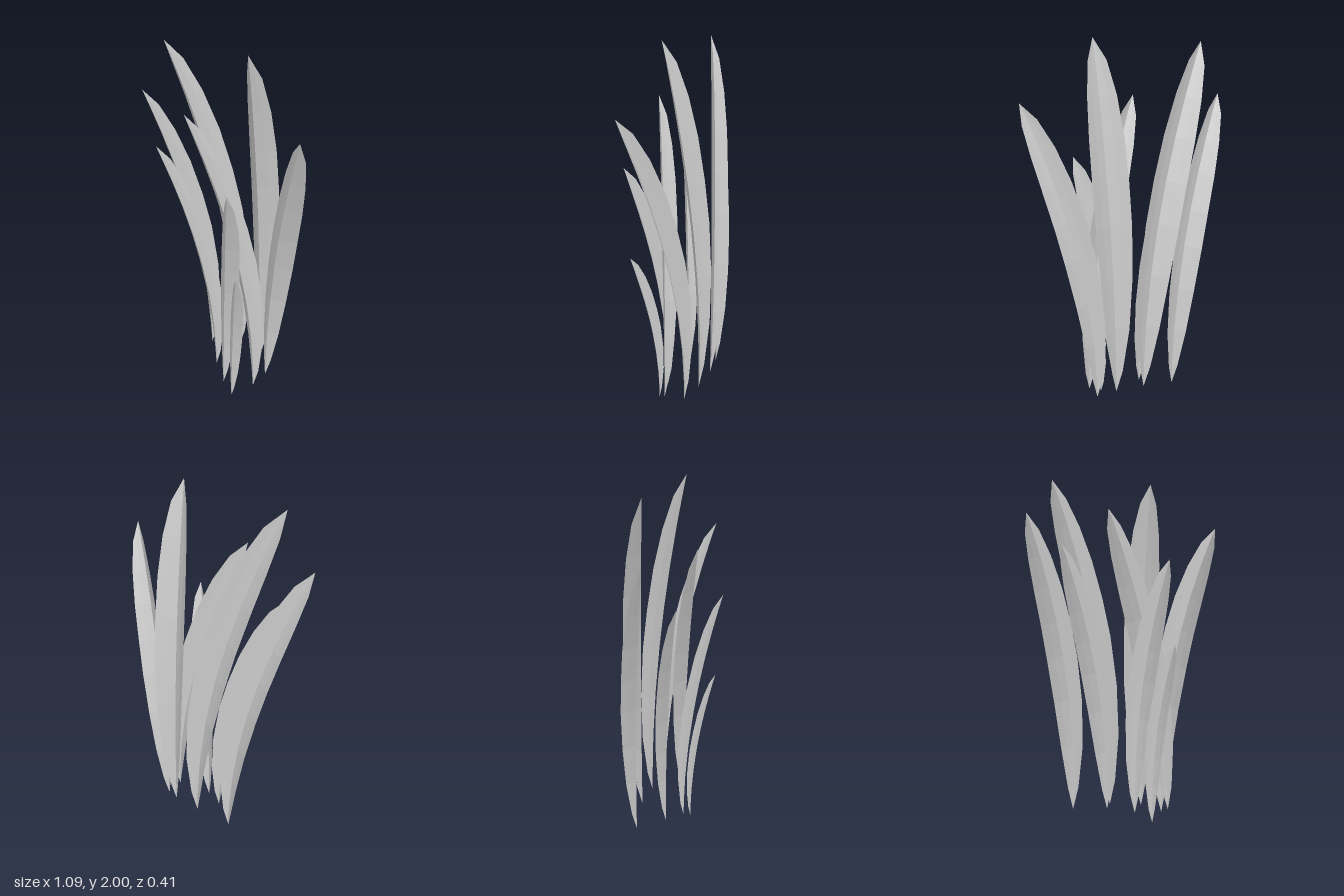
import * as THREE from 'three';

// [base x, y, z, tip x, y, z] of each grass blade
const BLADES = [
  [-0.22, 0.09, -0.13, -0.545, 1.69, 0.062],
  [-0.03, 0.13, -0.175, -0.41, 1.97, 0.012],
  [0.13, 0.13, -0.175, 0.178, 2.0, 0.012],
  [0.225, 0.09, -0.13, 0.545, 1.69, 0.062],
  [-0.065, 0.075, -0.015, -0.345, 1.45, 0.15],
  [0.235, 0.08, -0.015, -0.095, 1.69, 0.17],
  [0.06, 0.045, 0.05, 0.235, 1.37, 0.205],
  [0.14, 0.0, 0.065, 0.26, 0.89, 0.165],
];

// Relative width from root to tip
const PROFILE = [
  [0, 0], [0.07, 0.32], [0.2, 0.67], [0.35, 0.89], [0.5, 1],
  [0.62, 1], [0.74, 0.95], [0.85, 0.79], [0.94, 0.5], [1, 0],
];
const ACROSS = [-1, -0.5, 0, 0.5, 1];

// A folded leaf: the ridge faces forward, both edges sweep back, and the
// centre line bends quadratically towards the tip.
function bladeGeometry([bx, by, bz, tx, ty, tz]) {
  const base = new THREE.Vector3(bx, by, bz);
  const dx = tx - bx, h = ty - by, dz = tz - bz;
  const positions = [], index = [];
  for (const [t, w] of PROFILE) {
    const centre = base.clone().add(new THREE.Vector3(dx * t * t, h * t, dz * t * t));
    const side = new THREE.Vector3(h, -2 * t * dx, 0).normalize();
    const back = new THREE.Vector3(0, 2 * t * dz, -h).normalize();
    const half = 0.052 * h * w;
    for (const s of ACROSS) {
      const p = centre.clone()
        .addScaledVector(side, half * s)
        .addScaledVector(back, half * 0.62 * Math.abs(s) ** 1.15);
      positions.push(p.x, p.y, p.z);
    }
  }
  const n = ACROSS.length;
  for (let r = 0; r < PROFILE.length - 1; r++) {
    for (let c = 0; c < n - 1; c++) {
      const a = r * n + c, b = a + 1, d = a + n, e = d + 1;
      // Skip the collapsed triangles at the root and the tip
      if (r > 0) index.push(a, b, e);
      if (r < PROFILE.length - 2) index.push(a, e, d);
      else index.push();
    }
  }
  const g = new THREE.BufferGeometry();
  g.setAttribute('position', new THREE.Float32BufferAttribute(positions, 3));
  g.setIndex(index);
  g.computeVertexNormals();
  return g;
}

export function createModel() {
  const group = new THREE.Group();
  group.name = 'grassTuft';
  const material = new THREE.MeshStandardMaterial({
    color: 0xcccccc, flatShading: true, side: THREE.DoubleSide,
  });
  BLADES.forEach((blade, i) => {
    const mesh = new THREE.Mesh(bladeGeometry(blade), material);
    mesh.name = `grassBlade${i + 1}`;
    group.add(mesh);
  });
  return group;
}
